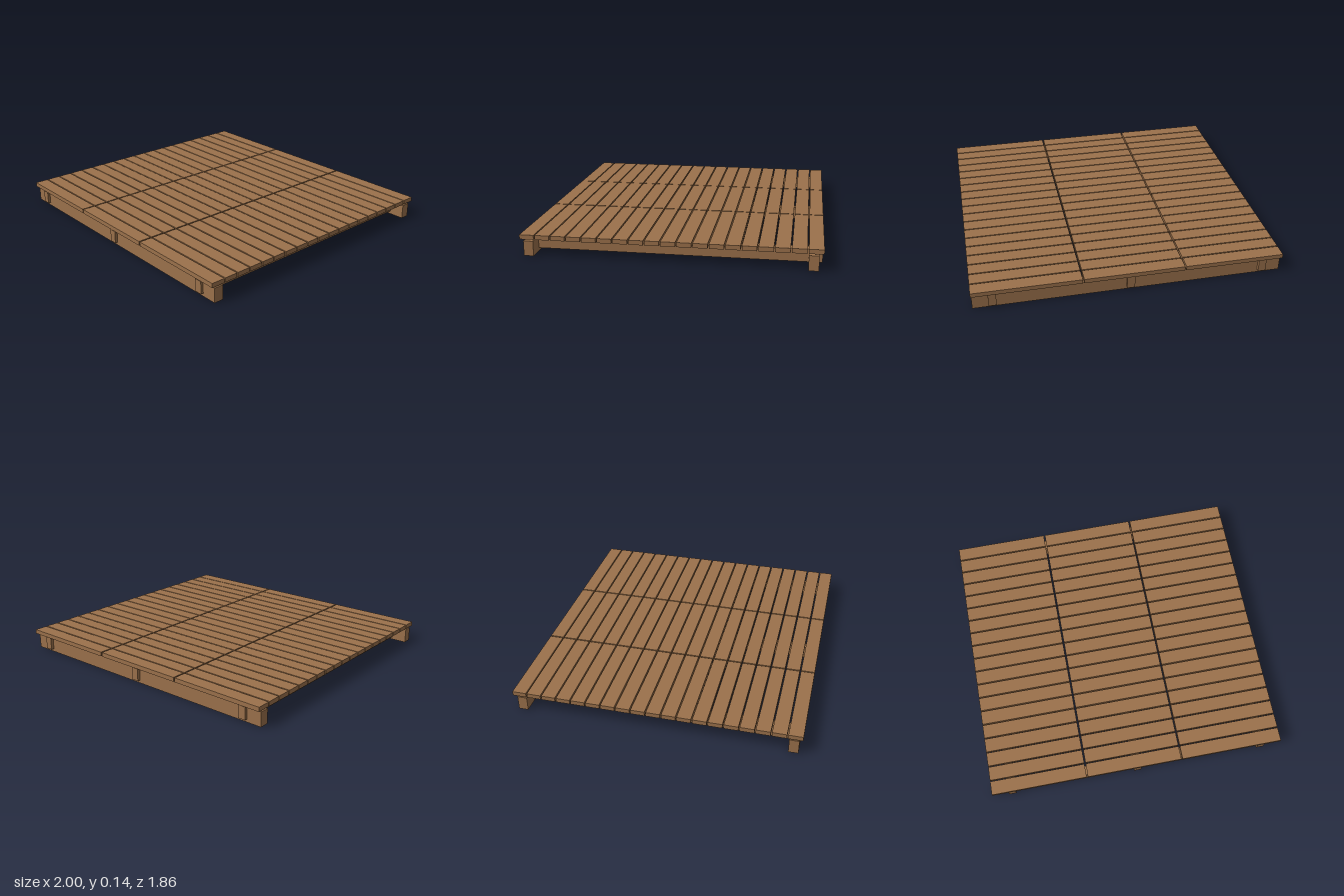
import * as THREE from 'three';

export function createModel() {
  const model = new THREE.Group();
  const wood = new THREE.MeshStandardMaterial({ color: 0x9b714b });
  wood.name = 'brown wood';

  // Box given by its lower and upper limits on each axis
  function board(name, [x0, x1], [y0, y1], [z0, z1], parent) {
    const mesh = new THREE.Mesh(new THREE.BoxGeometry(x1 - x0, y1 - y0, z1 - z0), wood);
    mesh.name = name;
    mesh.position.set((x0 + x1) / 2, (y0 + y1) / 2, (z0 + z1) / 2);
    parent.add(mesh);
  }

  // Two bearers resting on the ground
  board('frontBearer', [-0.995, 0.995], [0, 0.096], [0.848, 0.91], model);
  board('backBearer', [-0.995, 0.995], [0, 0.096], [-0.904, -0.842], model);

  // Three joists running front to back through the bearers
  const joists = new THREE.Group();
  joists.name = 'joists';
  for (const x of [-0.87, 0, 0.87]) {
    board('joist', [x - 0.025, x + 0.025], [0.02, 0.103], [-0.925, 0.928], joists);
  }
  model.add(joists);

  // Decking: 19 rows of planks, each cut into three lengths
  const deck = new THREE.Group();
  deck.name = 'deck';
  const spans = [[-1, -0.355], [-0.346, 0.3], [0.309, 1]];
  const pitch = 0.0985, width = 0.0905;
  for (let row = -9; row <= 9; row++) {
    const z = row * pitch;
    for (const span of spans) {
      board('plank', span, [0.108, 0.137], [z - width / 2, z + width / 2], deck);
    }
  }
  model.add(deck);

  return model;
}
